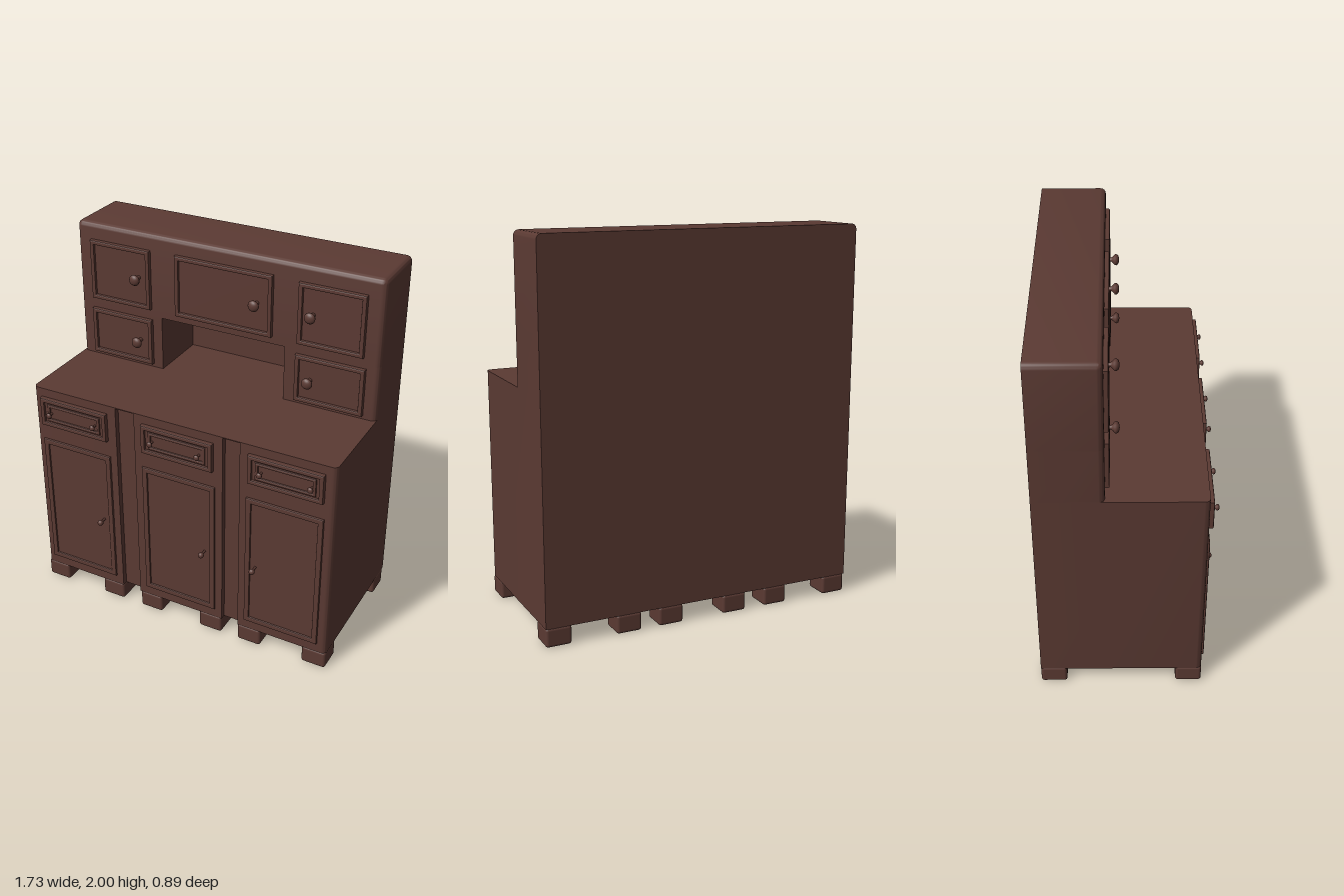
import * as THREE from 'three';
import { toCreasedNormals } from 'three/addons/utils/BufferGeometryUtils.js';
import { RoundedBoxGeometry } from 'three/addons/geometries/RoundedBoxGeometry.js';

const wood = new THREE.MeshStandardMaterial({ color: 0x5b3a33 });
wood.name = 'dark brown wood';

const BACK = -0.445, FRONT = 0.39, UPPER_FRONT = -0.1, SIDE = 0.865;

function add(parent, name, geometry, x = 0, y = 0, z = 0) {
  const mesh = new THREE.Mesh(geometry, wood);
  mesh.name = name;
  mesh.position.set(x, y, z);
  parent.add(mesh);
  return mesh;
}

// Rounded block whose listed sides ('x-', 'y+', ...) are cut flat and sharp
function softBlock(min, max, r, sharp) {
  const lo = min.map((v, i) => v - (sharp.includes('xyz'[i] + '-') ? r : 0));
  const hi = max.map((v, i) => v + (sharp.includes('xyz'[i] + '+') ? r : 0));
  const size = hi.map((v, i) => v - lo[i]);
  const geo = new RoundedBoxGeometry(...size, 3, r);
  geo.translate(...hi.map((v, i) => (v + lo[i]) / 2));
  const p = geo.attributes.position;
  for (let i = 0; i < p.count; i++) {
    for (let a = 0; a < 3; a++) {
      p.setComponent(i, a, THREE.MathUtils.clamp(p.getComponent(i, a), min[a], max[a]));
    }
  }
  return toCreasedNormals(geo, 0.7);
}

function box(min, max) {
  const geo = new THREE.BoxGeometry(...max.map((v, i) => v - min[i]));
  return geo.translate(...max.map((v, i) => (v + min[i]) / 2));
}

// Rectangular moulding with a bevelled section, standing on plane z
function moulding(x0, x1, y0, y1, width, z, height) {
  const rect = (T, d) => new T([[x0 + d, y0 + d], [x1 - d, y0 + d], [x1 - d, y1 - d], [x0 + d, y1 - d]]
    .map(([x, y]) => new THREE.Vector2(x, y)));
  const bevel = 0.006;
  const shape = rect(THREE.Shape, bevel);
  shape.holes.push(rect(THREE.Path, width - bevel));
  const geo = new THREE.ExtrudeGeometry(shape, {
    depth: Math.max(height - bevel, 0.001), bevelEnabled: true,
    bevelSize: bevel, bevelThickness: bevel, bevelSegments: 2,
  });
  return geo.translate(0, 0, z);
}

// Turned knob pointing forward: slim stem and flared domed head
function knob(r, length) {
  const profile = [[0.4, 0], [0.35, 0.4], [0.55, 0.52], [0.95, 0.68], [1, 0.78], [0.8, 0.92], [0.4, 0.99], [0, 1]]
    .map(([a, b]) => new THREE.Vector2(a * r, b * length));
  return new THREE.LatheGeometry(profile, 20).rotateX(Math.PI / 2);
}

export function createModel() {
  const model = new THREE.Group();
  model.name = 'kitchenDresser';

  // Lower cabinets with recessed strips between them
  const lower = new THREE.Group();
  lower.name = 'lowerCabinets';
  model.add(lower);
  add(lower, 'rightCabinet', softBlock([-SIDE, 0.1, BACK], [-0.36, 1.24, FRONT], 0.028, 'x+ y- y+ z-'));
  add(lower, 'middleCabinet', box([-0.25, 0.1, BACK], [0.26, 1.24, FRONT]));
  add(lower, 'leftCabinet', softBlock([0.355, 0.1, BACK], [SIDE, 1.24, FRONT], 0.028, 'x- y- y+ z-'));
  for (const [x0, x1] of [[-0.36, -0.25], [0.26, 0.355]]) {
    add(lower, 'recessedStrip', box([x0, 0.1, BACK], [x1, 1.235, FRONT - 0.03]));
    add(lower, 'worktopLip', box([x0, 1.235, BACK], [x1, 1.24, FRONT]));
  }

  // Upper hutch around an open niche
  const upper = new THREE.Group();
  upper.name = 'upperHutch';
  model.add(upper);
  add(upper, 'header', softBlock([-SIDE, 1.54, BACK], [SIDE, 2, UPPER_FRONT], 0.028, 'y- z-'));
  add(upper, 'rightColumn', softBlock([-SIDE, 1.24, BACK], [-0.36, 1.54, UPPER_FRONT], 0.028, 'x+ y- y+ z-'));
  add(upper, 'leftColumn', softBlock([0.355, 1.24, BACK], [SIDE, 1.54, UPPER_FRONT], 0.028, 'x- y- y+ z-'));
  add(upper, 'nicheBack', box([-0.36, 1.24, BACK], [0.355, 1.54, BACK + 0.01]));

  // Upper doors: x0, x1, y0, y1, knob x, knob y
  const bigKnob = knob(0.03, 0.07);
  for (const [x0, x1, y0, y1, kx, ky] of [
    [-0.78, -0.42, 1.58, 1.91, -0.49, 1.75],
    [-0.27, 0.285, 1.58, 1.915, 0.2, 1.75],
    [0.425, 0.78, 1.58, 1.91, 0.505, 1.75],
    [-0.785, -0.415, 1.26, 1.52, -0.49, 1.39],
    [0.42, 0.795, 1.26, 1.52, 0.505, 1.39],
  ]) {
    add(upper, 'upperDoorMoulding', moulding(x0, x1, y0, y1, 0.024, UPPER_FRONT, 0.022));
    add(upper, 'upperDoorPanel', box([x0 + 0.01, y0 + 0.01, UPPER_FRONT], [x1 - 0.01, y1 - 0.01, UPPER_FRONT + 0.008]));
    add(upper, 'upperDoorKnob', bigKnob, kx, ky, UPPER_FRONT);
  }

  // Lower doors
  const smallKnob = knob(0.016, 0.04);
  for (const [x0, x1, kx] of [[-0.82, -0.4, -0.46], [-0.205, 0.22, 0.16], [0.395, 0.815, 0.455]]) {
    add(lower, 'lowerDoorMoulding', moulding(x0, x1, 0.155, 0.935, 0.03, FRONT, 0.012));
    add(lower, 'lowerDoorPanel', box([x0 + 0.01, 0.165, FRONT], [x1 - 0.01, 0.925, FRONT + 0.003]));
    add(lower, 'lowerDoorKnob', smallKnob, kx, 0.52, FRONT + 0.002).scale.z = 1.45;
  }

  // Drawers with an inner moulding and a pair of knobs
  for (const [x0, x1, ka, kb] of [[-0.815, -0.41, -0.75, -0.48], [-0.2, 0.21, -0.135, 0.135], [0.405, 0.81, 0.48, 0.75]]) {
    add(lower, 'drawerFront', box([x0 + 0.01, 1.04, FRONT], [x1 - 0.01, 1.185, FRONT + 0.012]));
    add(lower, 'drawerMoulding', moulding(x0, x1, 1.03, 1.192, 0.024, FRONT, 0.024));
    add(lower, 'drawerInnerPanel', moulding(x0 + 0.04, x1 - 0.04, 1.06, 1.16, 0.018, FRONT, 0.02));
    for (const kx of [ka, kb]) add(lower, 'drawerKnob', smallKnob, kx, 1.108, FRONT + 0.012);
  }

  // Two rows of block feet
  const foot = new RoundedBoxGeometry(0.135, 0.1, 0.135, 3, 0.015);
  for (const x of [-0.797, -0.427, -0.18, 0.188, 0.421, 0.797]) {
    for (const z of [FRONT - 0.0675, BACK + 0.0675]) add(model, 'foot', foot, x, 0.052, z);
  }
  return model;
}
